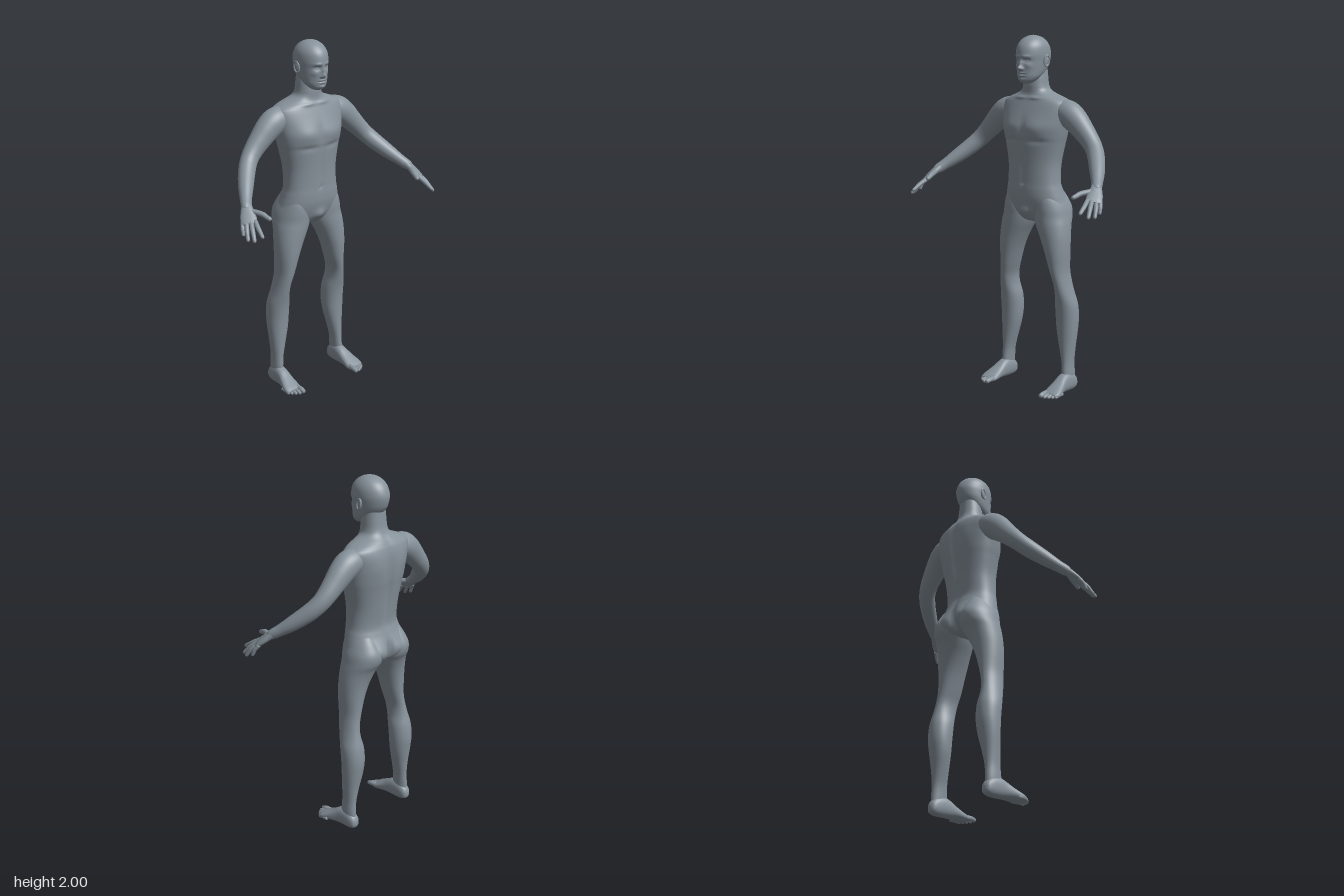
import * as THREE from 'three';

const skin = new THREE.MeshStandardMaterial({ color: 0x87929b });
skin.name = 'slate grey skin';

// Smooth interpolation through rows of numbers
function sample(rows, t) {
  const n = rows.length - 1, f = t * n, i = Math.min(n - 1, Math.floor(f)), u = f - i;
  const row = k => rows[Math.max(0, Math.min(n, k))];
  const [p, q, r, s] = [row(i - 1), row(i), row(i + 1), row(i + 2)];
  return q.map((_, k) => q[k] + 0.5 * u * (r[k] - p[k] + u * (2 * p[k] - 5 * q[k] + 4 * r[k] - s[k]
    + u * (3 * (q[k] - r[k]) + s[k] - p[k]))));
}

// Skin over cross-sections [x, y, z, a, b]; radius a lies along ref, b across it
function loft(sections, { axis, ref = [1, 0, 0], sides = 32, steps = 48, power = 2, warp } = {}) {
  const pos = [], index = [], R = new THREE.Vector3(...ref);
  const at = t => new THREE.Vector3(...sample(sections, t).slice(0, 3));
  const round = v => Math.sign(v) * Math.abs(v) ** (2 / power);
  for (let i = 0; i <= steps; i++) {
    const t = i / steps, s = sample(sections, t), c = at(t);
    const T = axis ? new THREE.Vector3(...axis)
      : at(Math.min(1, t + 0.02)).sub(at(Math.max(0, t - 0.02))).normalize();
    const U = R.clone().addScaledVector(T, -R.dot(T)).normalize();
    const V = T.clone().cross(U);
    for (let j = 0; j < sides; j++) {
      const a = j / sides * Math.PI * 2, cu = round(Math.cos(a)), cv = round(Math.sin(a));
      const p = c.clone().addScaledVector(U, s[3] * cu).addScaledVector(V, s[4] * cv);
      if (warp) warp(p, U.z * cu + V.z * cv);
      pos.push(p.x, p.y, p.z);
      if (i < steps) {
        const A = i * sides + j, B = i * sides + (j + 1) % sides;
        index.push(A, B, B + sides, A, B + sides, A + sides);
      }
    }
  }
  // End caps
  const first = pos.length / 3, last = steps * sides;
  pos.push(...sections[0].slice(0, 3), ...sections[sections.length - 1].slice(0, 3));
  for (let j = 0; j < sides; j++) {
    const k = (j + 1) % sides;
    index.push(first, k, j, first + 1, last + j, last + k);
  }
  const g = new THREE.BufferGeometry();
  g.setAttribute('position', new THREE.Float32BufferAttribute(pos, 3));
  g.setIndex(index);
  g.computeVertexNormals();
  return g;
}

// Horizontal section from [y, outer x, inner x, front z, back z]
const level = ([y, o, i, f, b]) => [(o + i) / 2, y, (f + b) / 2, (o - i) / 2, (f - b) / 2];
const centred = ([y, w, f, b]) => level([y, w, -w, f, b]);

// Soft mirrored bumps [x, y, width, height, amount, face], face 1 = front, -1 = back
const relief = bumps => (p, facing) => {
  let dz = 0;
  for (const [x, y, w, h, amount, face] of bumps) {
    const fade = Math.min(1, Math.max(0, face * facing * 2));
    dz += face * amount * fade * Math.exp(-(((Math.abs(p.x) - x) / w) ** 2) - ((p.y - y) / h) ** 2);
  }
  p.z += dz;
};

// Tapered finger or toe with a rounded tip
function digit(base, mid, tip, r) {
  const mix = (p, q, t) => p.map((v, k) => v + (q[k] - v) * t);
  return loft([[...base, r, r], [...mid, r, r * 0.95], [...mix(mid, tip, 0.55), r * 0.88, r * 0.85],
    [...mix(mid, tip, 0.88), r * 0.72, r * 0.7], [...tip, r * 0.15, r * 0.15]], { sides: 14, steps: 20 });
}

function mirrored(geometry) {
  const g = geometry.clone().scale(-1, 1, 1), a = g.index.array;
  for (let i = 0; i < a.length; i += 3) [a[i + 1], a[i + 2]] = [a[i + 2], a[i + 1]];
  g.computeVertexNormals();
  return g;
}

export function createModel() {
  const model = new THREE.Group();
  model.name = 'standingFigure';
  const add = (name, geometry) => {
    const mesh = new THREE.Mesh(geometry, skin);
    mesh.name = name;
    model.add(mesh);
  };
  const pair = (name, geometry) => {
    add('left' + name, geometry);
    add('right' + name, mirrored(geometry));
  };

  // Torso and neck, from crotch upwards
  add('torso', loft([
    [0.965, 0.05, -0.08, -0.17], [0.98, 0.11, -0.055, -0.215], [1.01, 0.175, -0.035, -0.245],
    [1.05, 0.197, -0.02, -0.255], [1.1, 0.186, -0.008, -0.243], [1.15, 0.173, -0.005, -0.224],
    [1.2, 0.163, -0.006, -0.213], [1.3, 0.163, -0.004, -0.225], [1.4, 0.182, 0.002, -0.24],
    [1.45, 0.194, 0.008, -0.248], [1.5, 0.204, 0.008, -0.252], [1.55, 0.213, -0.005, -0.253],
    [1.6, 0.222, -0.024, -0.25], [1.635, 0.215, -0.038, -0.242], [1.655, 0.185, -0.046, -0.232],
    [1.672, 0.14, -0.053, -0.221], [1.688, 0.1, -0.056, -0.208], [1.705, 0.079, -0.056, -0.198],
    [1.73, 0.071, -0.056, -0.19], [1.77, 0.067, -0.06, -0.185], [1.83, 0.06, -0.07, -0.18],
  ].map(centred), {
    axis: [0, 1, 0], sides: 80, steps: 120, power: 2.25,
    warp: relief([
      [0.085, 1.5, 0.06, 0.045, 0.008, 1], [0, 1.49, 0.014, 0.07, -0.007, 1],
      [0.08, 1.425, 0.06, 0.014, -0.006, 1], [0, 1.27, 0.012, 0.11, -0.005, 1],
      [0, 1.19, 0.008, 0.008, -0.007, 1], [0.05, 1.66, 0.04, 0.01, 0.006, 1],
      [0, 1.025, 0.03, 0.03, 0.018, 1],
      [0, 1.42, 0.022, 0.2, -0.02, -1], [0.1, 1.54, 0.05, 0.07, 0.006, -1],
      [0.085, 1.05, 0.055, 0.05, 0.014, -1], [0, 1.04, 0.018, 0.06, -0.035, -1],
    ]),
  }));

  // Head with a modelled face
  add('head', loft([
    [1.738, 0.018, -0.022, -0.055], [1.744, 0.034, -0.008, -0.075], [1.757, 0.05, 0.002, -0.1],
    [1.777, 0.064, 0.006, -0.13], [1.8, 0.072, 0.008, -0.165], [1.83, 0.078, 0.01, -0.192],
    [1.86, 0.082, 0.011, -0.206], [1.9, 0.085, 0.014, -0.212], [1.94, 0.08, 0.005, -0.2],
    [1.97, 0.064, -0.018, -0.177], [1.99, 0.04, -0.05, -0.145], [1.998, 0.016, -0.08, -0.115],
    [2.0, 0.002, -0.096, -0.1],
  ].map(centred), {
    axis: [0, 1, 0], sides: 112, steps: 110,
    warp: relief([
      [0, 1.823, 0.01, 0.012, 0.024, 1], [0, 1.848, 0.009, 0.022, 0.012, 1],
      [0.012, 1.818, 0.006, 0.007, 0.008, 1], [0.03, 1.885, 0.022, 0.008, 0.006, 1],
      [0.03, 1.864, 0.016, 0.011, -0.013, 1], [0.031, 1.862, 0.009, 0.006, 0.007, 1],
      [0.045, 1.835, 0.014, 0.014, 0.004, 1], [0, 1.797, 0.018, 0.005, 0.007, 1],
      [0, 1.79, 0.022, 0.003, -0.005, 1], [0, 1.782, 0.016, 0.005, 0.007, 1],
      [0, 1.76, 0.018, 0.009, 0.006, 1],
    ]),
  }));

  // Ears: shell and rim
  const place = g => g.rotateX(-0.15).rotateY(-0.25).translate(0.087, 1.862, -0.102);
  pair('Ear', place(new THREE.SphereGeometry(1, 20, 14).scale(0.008, 0.03, 0.018)));
  pair('EarRim', place(new THREE.TorusGeometry(0.017, 0.004, 8, 28).scale(1, 1.7, 1)
    .rotateY(Math.PI / 2).translate(0.007, 0, 0)));

  // Legs
  pair('Leg', loft([
    [0.03, 0.248, 0.197, -0.1, -0.192], [0.1, 0.25, 0.194, -0.096, -0.193],
    [0.17, 0.249, 0.187, -0.1, -0.191], [0.25, 0.255, 0.167, -0.1, -0.199],
    [0.34, 0.263, 0.145, -0.098, -0.214], [0.42, 0.266, 0.137, -0.094, -0.224],
    [0.5, 0.263, 0.139, -0.084, -0.219], [0.57, 0.247, 0.152, -0.069, -0.202],
    [0.63, 0.235, 0.151, -0.057, -0.191], [0.7, 0.227, 0.13, -0.045, -0.187],
    [0.8, 0.23, 0.097, -0.034, -0.193], [0.88, 0.229, 0.062, -0.03, -0.205],
    [0.95, 0.222, 0.026, -0.028, -0.227], [1.0, 0.213, 0.008, -0.028, -0.254],
    [1.05, 0.203, 0.012, -0.026, -0.26], [1.1, 0.184, 0.035, -0.03, -0.235],
    [1.15, 0.16, 0.06, -0.045, -0.2],
  ].map(level), { axis: [0, 1, 0], sides: 48, steps: 90, power: 2.1 }));

  // Feet, heel to ball: [z, centre x, half width, bottom, top]
  pair('Foot', loft([
    [-0.207, 0.222, 0.01, 0.025, 0.05], [-0.195, 0.222, 0.027, 0.008, 0.075],
    [-0.165, 0.222, 0.034, 0, 0.1], [-0.12, 0.222, 0.036, 0, 0.11], [-0.08, 0.223, 0.038, 0.002, 0.098],
    [-0.04, 0.227, 0.044, 0.003, 0.073], [0, 0.231, 0.051, 0, 0.051], [0.025, 0.232, 0.051, 0, 0.038],
    [0.042, 0.23, 0.043, 0.005, 0.028],
  ].map(([z, x, w, lo, hi]) => [x, (lo + hi) / 2, z, w, (hi - lo) / 2]),
  { axis: [0, 0, 1], sides: 36, steps: 40, power: 2.4 }));
  [[0.198, 0.087, 0.015], [0.222, 0.083, 0.0115], [0.242, 0.072, 0.011], [0.259, 0.058, 0.0105],
    [0.273, 0.042, 0.01]].forEach(([x, z, r], i) =>
    pair('Toe' + (i + 1), digit([x, r + 0.007, z - 0.065], [x, r + 0.006, z - 0.03], [x, r, z], r)));

  // Arms, shoulder to wrist
  pair('Arm', loft([
    [0.13, 1.6, -0.145, 0.05, 0.045], [0.18, 1.59, -0.143, 0.068, 0.066],
    [0.225, 1.57, -0.14, 0.071, 0.074], [0.27, 1.537, -0.138, 0.066, 0.07],
    [0.32, 1.49, -0.135, 0.058, 0.061], [0.37, 1.44, -0.129, 0.051, 0.053],
    [0.41, 1.397, -0.113, 0.047, 0.049], [0.45, 1.352, -0.077, 0.046, 0.047],
    [0.5, 1.297, -0.017, 0.041, 0.041], [0.54, 1.254, 0.038, 0.032, 0.032],
    [0.567, 1.225, 0.08, 0.026, 0.028], [0.574, 1.216, 0.092, 0.018, 0.02],
  ], { ref: [0, 0, 1], sides: 36, steps: 70 }));

  // Hands: palm, then fingers from base to tip
  pair('Palm', loft([
    [0.553, 1.24, 0.058, 0.026, 0.024], [0.57, 1.22, 0.088, 0.032, 0.021],
    [0.584, 1.197, 0.115, 0.04, 0.018], [0.597, 1.174, 0.143, 0.043, 0.014],
    [0.604, 1.163, 0.157, 0.034, 0.008],
  ], { ref: [-0.76, 0.06, 0.65], sides: 28, steps: 28, power: 2.3 }));
  const fingers = {
    Thumb: [[0.562, 1.213, 0.105], [0.533, 1.206, 0.165], [0.514, 1.185, 0.225], 0.015],
    IndexFinger: [[0.572, 1.176, 0.162], [0.585, 1.15, 0.208], [0.595, 1.115, 0.263], 0.0125],
    MiddleFinger: [[0.589, 1.174, 0.149], [0.61, 1.142, 0.192], [0.63, 1.092, 0.238], 0.0125],
    RingFinger: [[0.606, 1.172, 0.134], [0.629, 1.138, 0.169], [0.646, 1.09, 0.202], 0.012],
    LittleFinger: [[0.622, 1.17, 0.12], [0.635, 1.142, 0.139], [0.642, 1.105, 0.155], 0.011],
  };
  for (const [name, args] of Object.entries(fingers)) pair(name, digit(...args));

  return model;
}
